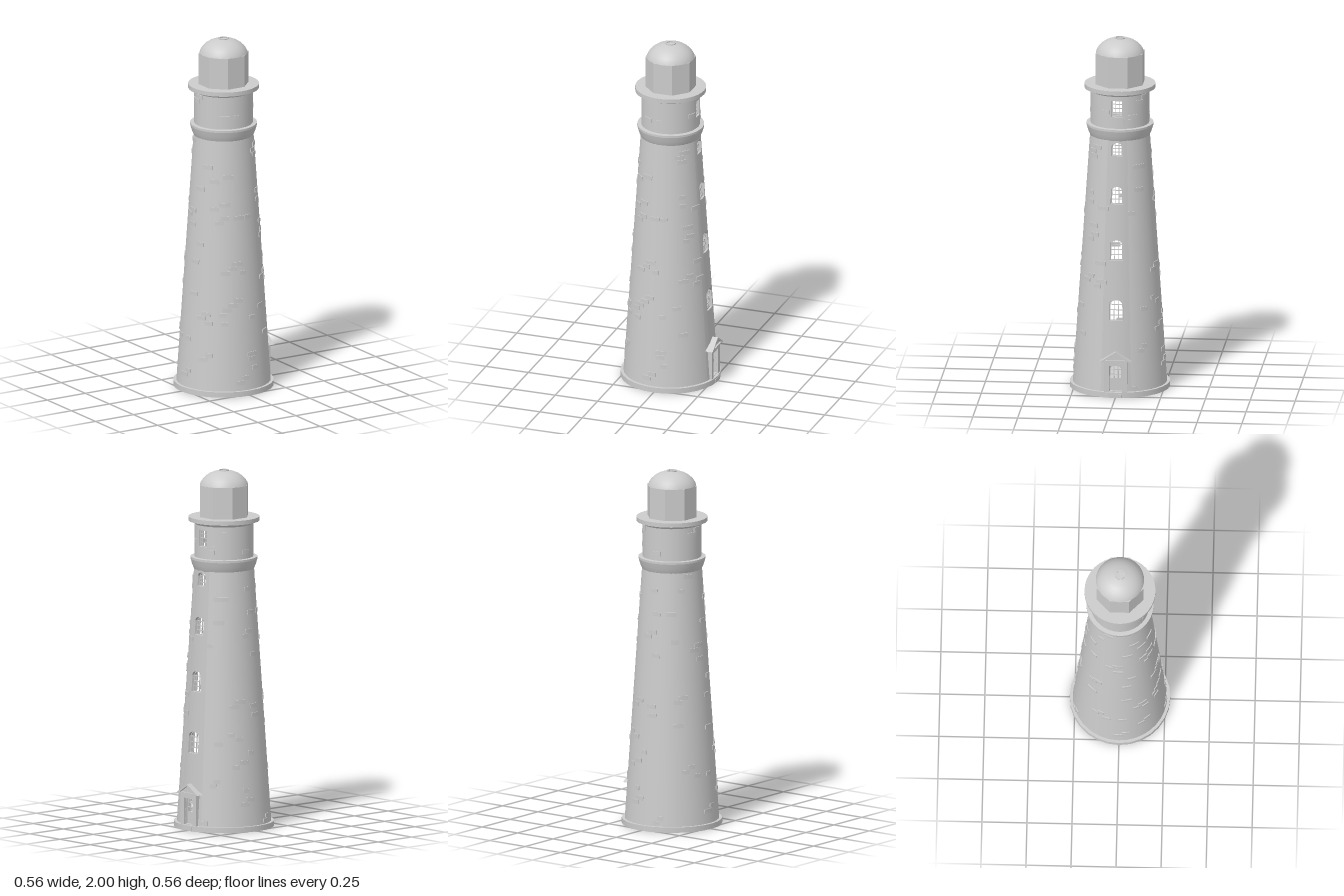
import * as THREE from 'three';
import { mergeGeometries } from 'three/addons/utils/BufferGeometryUtils.js';

const smooth = new THREE.MeshStandardMaterial({ color: 0xcccccc, side: THREE.DoubleSide });
const wallMat = new THREE.MeshStandardMaterial({ color: 0xcccccc });
const flat = new THREE.MeshStandardMaterial({ color: 0xcccccc, flatShading: true });

const Y0 = 0.03, Y1 = 1.46, DRUM0 = 1.5, DRUM1 = 1.72;
const GAP = 0.33;      // half angle of the window strip, facing +x
const WALL = 0.03;     // wall thickness

// Outer radius of the wall at height y
const radius = y => y < Y1 + 0.001 ? 0.262 - 0.096 * (y - Y0) / (Y1 - Y0) : 0.163;

// Bends a geometry given as (angle, height, depth) around the tower
function wrap(geo) {
  const p = geo.attributes.position, n = geo.attributes.normal;
  for (let i = 0; i < p.count; i++) {
    const a = p.getX(i), y = p.getY(i), r = radius(y) + p.getZ(i);
    const c = Math.cos(a), s = Math.sin(a), t = n.getX(i), k = n.getZ(i);
    p.setXYZ(i, r * c, y, -r * s);
    n.setXYZ(i, k * c - t * s, n.getY(i), -k * s - t * c);
  }
  return geo;
}

// Box in wrapped coordinates
function bentBox(a, y, z, da, dy, dz, segs = 1) {
  return wrap(new THREE.BoxGeometry(da, dy, dz, segs, 1, 1).translate(a, y, z));
}

// Right half of an opening, listed from its top centre to its bottom centre
function halfOutline(o, inset = 0) {
  const w = (o.w / 2 - inset) / radius(o.y), top = o.y + o.h / 2 - inset, bottom = o.y - o.h / 2 + inset;
  const pts = [];
  if (o.rise) {
    for (let i = 0; i <= 8; i++) {
      const t = i / 8 * Math.PI / 2;
      pts.push([w * Math.sin(t), top - o.rise + o.rise * Math.cos(t)]);
    }
  } else pts.push([0, top], [w, top]);
  pts.push([w, bottom], [0, bottom]);
  return pts;
}

// Wall strip with openings, made of two mirrored halves
function wallStrip(bottom, top, openings) {
  const pts = [[0, bottom], [GAP, bottom], [GAP, top], [0, top]];
  for (const o of [...openings].sort((a, b) => b.y - a.y)) pts.push(...halfOutline(o));
  return mergeGeometries([1, -1].map(side => {
    const shape = new THREE.Shape(pts.map(([a, y]) => new THREE.Vector2(side * a, y)));
    return wrap(new THREE.ExtrudeGeometry(shape, { depth: WALL, bevelEnabled: false }).translate(0, 0, -WALL));
  }));
}

// Frame and glazing bars of one opening
function glazing(o, cols, rows) {
  const loop = inset => {
    const half = halfOutline(o, inset);
    const other = half.slice(1, -1).reverse().map(([a, y]) => [-a, y]);
    return [...half, ...other].map(([a, y]) => new THREE.Vector2(a, y));
  };
  const frame = new THREE.Shape(loop(0));
  frame.holes.push(new THREE.Path(loop(0.005)));
  const parts = [wrap(new THREE.ExtrudeGeometry(frame, { depth: 0.01, bevelEnabled: false }).translate(0, 0, -0.022))];
  const r = radius(o.y), body = o.h - (o.rise || 0) * 0.1;
  const bar = (...args) => parts.push(bentBox(...args).toNonIndexed());
  for (let i = 1; i < cols; i++)
    bar((i / cols - 0.5) * o.w / r, o.y - (o.h - body) / 2, -0.017, 0.004 / r, body, 0.006);
  for (let j = 1; j < rows; j++)
    bar(0, o.y - o.h / 2 + j * o.h / rows, -0.017, o.w * 0.98 / r, 0.004, 0.006, 2);
  return mergeGeometries(parts);
}

// Slightly raised stones scattered over the wall, often in stepped groups
function raisedStones() {
  let seed = 7;
  const rnd = () => (seed = (seed * 16807) % 2147483647) / 2147483647;
  const course = 0.026, parts = [];
  for (let i = 0; i < 85; i++) {
    let a = GAP + 0.05 + rnd() * (2 * Math.PI - 2 * GAP - 0.1);
    let y = Y0 + course * (0.7 + Math.floor(rnd() * 63));
    const group = rnd() < 0.35 ? 2 : 1;
    for (let k = 0; k < group; k++) {
      const w = 0.035 + rnd() * 0.03;
      const onRing = y > 1.43 && y < 1.535;
      if (!onRing && y < 1.69) parts.push(bentBox(a, y, 0, w / radius(y), course * 0.9, 0.008, 4));
      a += w * 0.6 / radius(y);
      y += course;
    }
  }
  return mergeGeometries(parts);
}

export function createModel() {
  const model = new THREE.Group();
  const add = (name, geo, mat = smooth, parent = model) => {
    const mesh = new THREE.Mesh(geo, mat);
    mesh.name = name;
    parent.add(mesh);
    return mesh;
  };
  const lathe = (pts, segs = 48, start = 0, len = Math.PI * 2) =>
    new THREE.LatheGeometry(pts.map(([x, y]) => new THREE.Vector2(x, y)), segs, start, len);
  const disc = (r, y0, y1, segs) => new THREE.CylinderGeometry(r, r, y1 - y0, segs).translate(0, (y0 + y1) / 2, 0);
  const box = (x0, x1, y0, y1, z0, z1) => new THREE.BoxGeometry(x1 - x0, y1 - y0, z1 - z0)
    .translate((x0 + x1) / 2, (y0 + y1) / 2, (z0 + z1) / 2);

  // Plinth
  add('plinth', disc(0.279, 0, Y0, 28));

  // Tapered tower and upper drum, with the window strip on the +x side
  const windows = [
    { y: 0.49, w: 0.08, h: 0.12, rise: 0.025 },
    { y: 0.83, w: 0.074, h: 0.115, rise: 0.024 },
    { y: 1.14, w: 0.068, h: 0.1, rise: 0.022 },
    { y: 1.4, w: 0.062, h: 0.076, rise: 0.02 },
  ];
  const drumWindow = { y: 1.63, w: 0.064, h: 0.094 };
  const doorway = { y: 0.107, w: 0.07, h: 0.146 };
  const around = [32, Math.PI / 2 + GAP, Math.PI * 2 - GAP * 2];
  add('towerWall', lathe([[radius(Y0), Y0], [radius(Y1), Y1]], ...around), wallMat);
  add('towerWindowStrip', wallStrip(Y0, Y1, [doorway, ...windows]), wallMat);
  add('drumWall', lathe([[0.163, DRUM0], [0.163, DRUM1]], ...around), wallMat);
  add('drumWindowStrip', wallStrip(DRUM0, DRUM1, [drumWindow]), wallMat);
  add('raisedStones', raisedStones(), wallMat);
  windows.forEach((o, i) => add('windowGlazing' + (i + 1), glazing(o, 3, 4), wallMat));
  add('drumWindowGlazing', glazing(drumWindow, 3, 4), wallMat);

  // Flared ring between tower and drum
  add('corniceFlare', lathe([[0.165, 1.445], [0.17, 1.455], [0.178, 1.475], [0.186, 1.503]]));
  add('corniceBand', lathe([[0.186, 1.503], [0.186, 1.515]]));
  add('corniceTop', lathe([[0.186, 1.515], [0.155, 1.517]]));

  // Gallery and eight-sided lantern room
  add('galleryBracket', lathe([[0.163, 1.7], [0.168, 1.708], [0.18, 1.717]]));
  add('gallery', disc(0.197, 1.716, 1.74, 40));
  const lantern = new THREE.CylinderGeometry(0.141, 0.141, 0.178, 8).rotateY(Math.PI / 8);
  add('lanternRoom', lantern.translate(0, 1.829, 0), flat);

  // Dome with a small eight-sided vent
  add('dome', lathe([[0.134, 1.917], [0.129, 1.931], [0.118, 1.949], [0.101, 1.966],
    [0.08, 1.98], [0.055, 1.99], [0.028, 1.995]]));
  const vent = lathe([[0.03, 1.99], [0.03, 2], [0.024, 2], [0.024, 1.993], [0, 1.993]], 8).rotateY(Math.PI / 8);
  add('domeVent', vent, flat);

  // Entrance: door leaf with glazed top, pilasters, gabled canopy and step
  const entrance = new THREE.Group();
  entrance.name = 'entrance';
  model.add(entrance);
  add('doorPanel', box(0.232, 0.242, 0.03, 0.1, -0.036, 0.036), flat, entrance);
  add('doorGlazing', glazing({ y: 0.14, w: 0.07, h: 0.08, rise: 0.02 }, 3, 3), wallMat, entrance);
  for (const s of [-1, 1])
    add(s > 0 ? 'rightPilaster' : 'leftPilaster',
      box(0.235, 0.267, 0.025, 0.2, s * 0.05 - 0.014, s * 0.05 + 0.014), flat, entrance);
  add('lintel', box(0.235, 0.267, 0.18, 0.208, -0.064, 0.064), flat, entrance);
  add('doorStep', box(0.24, 0.279, 0, 0.022, -0.036, 0.036), flat, entrance);
  const triangle = (half, y0, y1) =>
    [[-half, y0], [half, y0], [0, y1]].map(([x, y]) => new THREE.Vector2(x, y));
  const gable = (shape, x0, x1) => new THREE.ExtrudeGeometry(shape, { depth: x1 - x0, bevelEnabled: false })
    .rotateY(Math.PI / 2).translate(x0, 0, 0);
  const roof = new THREE.Shape(triangle(0.087, 0.205, 0.262));
  roof.holes.push(new THREE.Path(triangle(0.058, 0.213, 0.25)));
  add('canopyRoof', gable(roof, 0.236, 0.279), flat, entrance);
  add('canopyGable', gable(new THREE.Shape(triangle(0.07, 0.208, 0.254)), 0.236, 0.268), flat, entrance);

  return model;
}
